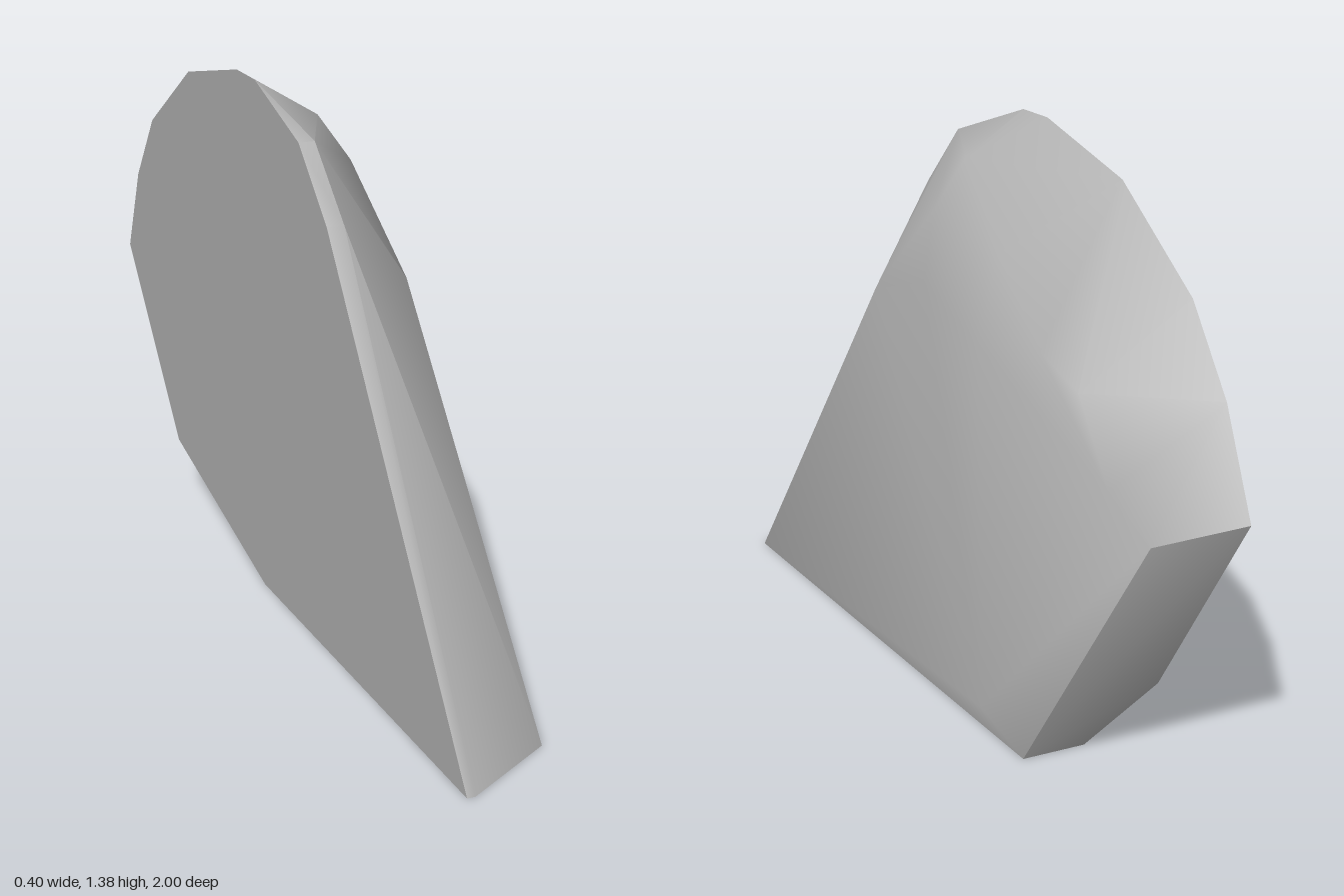
import * as THREE from 'three';
import { ConvexGeometry } from 'three/addons/geometries/ConvexGeometry.js';
import { toCreasedNormals } from 'three/addons/utils/BufferGeometryUtils.js';

const V = (x, y, z) => new THREE.Vector3(x, y, z);

export function createModel() {
  const stone = new THREE.MeshStandardMaterial({ color: 0xb0b0b0 });
  stone.name = 'stone grey';

  // Flat back face: outline as [z, y], lying on one slanted plane
  const flatFace = [
    [1, 0], [0.385, 1.13], [0.25, 1.29], [0.01, 1.38], [-0.1, 1.38], [-0.43, 1.3],
    [-0.73, 1.1], [-0.88, 0.91], [-1, 0.67], [-0.71, 0.18], [-0.12, 0],
  ].map(([z, y]) => V(-0.109 + 0.059 * z - 0.048 * y, y, z));

  // Narrow front ridge beside the flat face
  const frontRidge = [V(-0.03, 0, 1), V(-0.1, 1.13, 0.39), V(-0.117, 1.29, 0.25)];

  // Rounded shoulder between the rim and the broad face
  const shoulder = [
    V(-0.015, 1.28, 0), V(0.07, 1.16, 0), V(0.04, 1.12, -0.28), V(0.05, 0.95, -0.51),
    V(0.025, 0.89, -0.64), V(0.025, 0.71, -0.78), V(-0.02, 0.61, -0.89),
  ];

  // Broad bulging face and its foot
  const broadFace = [
    V(0.2, 0, 0.86), V(0.13, 0.92, 0.21), V(0.12, 1.0, -0.05), V(0.11, 0.92, -0.32),
    V(0.18, 0.09, -0.48), V(0.13, 0, -0.6), V(-0.03, 0, -0.6),
  ];

  const hull = new ConvexGeometry([...flatFace, ...frontRidge, ...shoulder, ...broadFace]);
  const slab = new THREE.Mesh(toCreasedNormals(hull, 0.65), stone);
  slab.name = 'stoneSlab';

  const group = new THREE.Group();
  group.name = 'stone';
  group.add(slab);
  return group;
}
